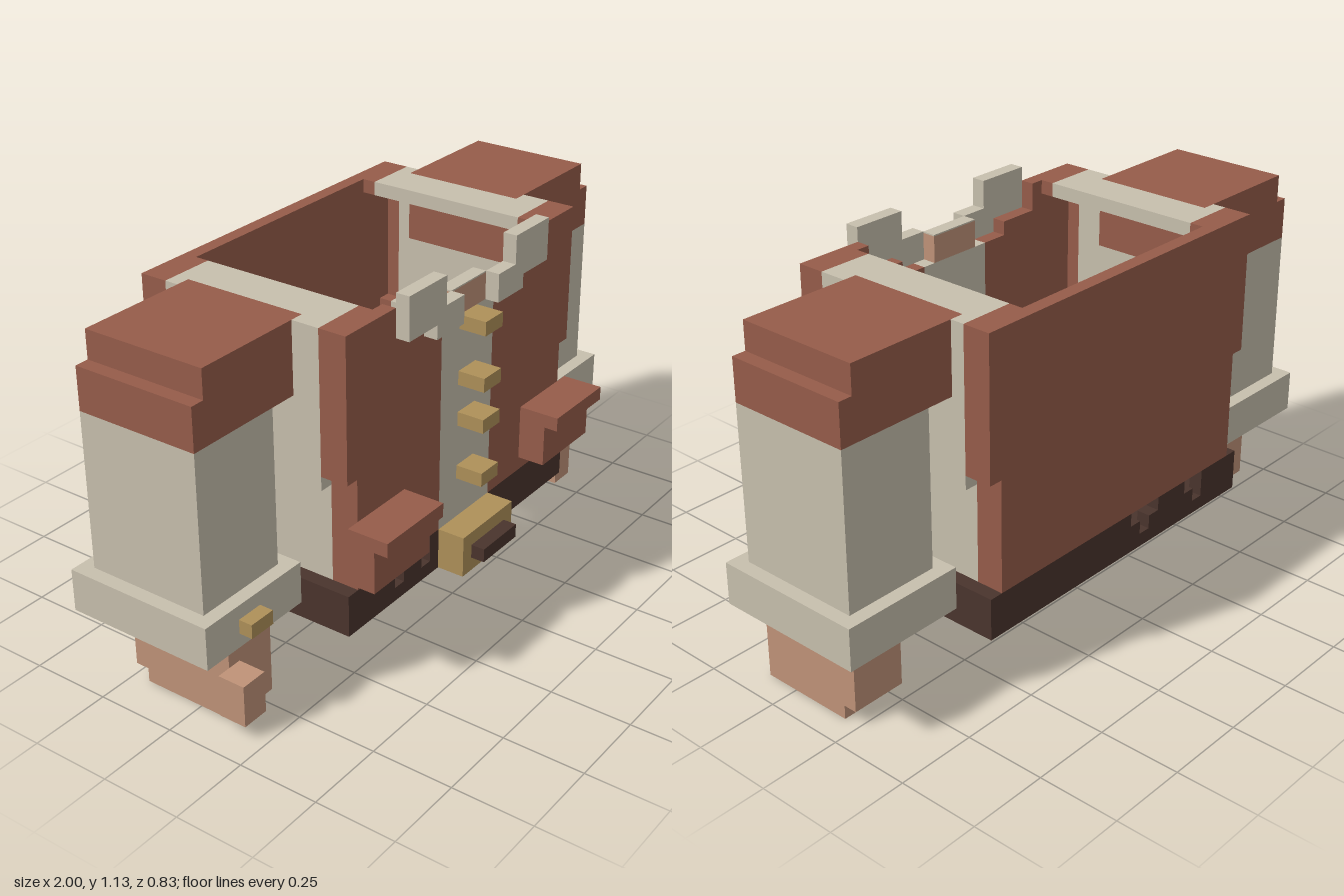
import * as THREE from 'three';

const U = 2 / 46; // one block

const mat = (name, color) => {
  const m = new THREE.MeshStandardMaterial({ color });
  m.name = name;
  return m;
};

export function createModel() {
  const red = mat('brick red cloth', 0x965c4a);
  const cream = mat('cream cloth', 0xc7bfad);
  const skin = mat('skin', 0xbf9278);
  const gold = mat('gold', 0xae9059);
  const dark = mat('dark leather', 0x4a342d);

  const model = new THREE.Group();
  model.name = 'blockyJacket';

  // Box from minimum and maximum corners, in blocks
  function box(name, m, x0, x1, y0, y1, z0, z1, parent = model) {
    const g = new THREE.BoxGeometry((x1 - x0) * U, (y1 - y0) * U, (z1 - z0) * U);
    const mesh = new THREE.Mesh(g, m);
    mesh.position.set((x0 + x1) * U / 2, (y0 + y1) * U / 2, (z0 + z1) * U / 2);
    mesh.name = name;
    parent.add(mesh);
  }
  // The same box on both sides of x = 0
  function pair(name, m, x0, x1, ...rest) {
    box(name, m, x0, x1, ...rest);
    box(name, m, -x1, -x0, ...rest);
  }
  // One row of blocks along x, split around missing columns
  function row(name, m, x0, x1, missing, ...rest) {
    let start = x0;
    for (let x = x0; x <= x1; x++) {
      if (x < x1 && !missing.includes(x)) continue;
      if (x > start) box(name, m, start, x, ...rest);
      start = x + 1;
    }
  }

  // Back of the jacket, narrower below
  box('backUpper', red, -13, 13, 15, 25, -9.5, -8.5);
  box('backLower', red, -12, 12, 7, 15, -9.5, -8.5);

  // Front halves, with the neckline cut out
  pair('frontLower', red, 3, 12, 7, 15, 5.5, 6.5);
  pair('frontUpper', red, 3, 13, 15, 22, 5.5, 6.5);
  pair('frontNeckStep', red, 5, 13, 22, 23, 5.5, 6.5);
  pair('frontShoulder', red, 8, 13, 23, 25, 5.5, 6.5);
  box('shirtPanel', cream, -3, 3, 7, 22, 5.5, 6.5);

  // Corner posts, side walls and shoulder straps
  for (const [z0, z1] of [[4.5, 5.5], [-8.5, -7.5]]) {
    pair('cornerUpper', red, 12, 13, 15, 25, z0, z1);
    pair('cornerLower', red, 11, 12, 7, 15, z0, z1);
    pair('cornerTop', red, 9, 12, 24, 25, z0, z1);
  }
  pair('sideUpper', cream, 12, 13, 14, 24, -7.5, 4.5);
  pair('sideLower', cream, 11, 12, 7, 15, -7.5, 4.5);
  pair('shoulderStrap', cream, 9, 12, 24, 25, -7.5, 4.5);
  pair('strapEndFront', cream, 12, 13, 24, 25, 2.5, 4.5);
  pair('strapEndBack', cream, 12, 13, 24, 25, -7.5, -6.5);

  // Neck and stepped collar
  box('neck', skin, -2, 2, 22, 23.9, 5.5, 6.5);
  box('neckTop', cream, -2, 2, 23.9, 24, 5.5, 6.5);
  pair('collarPoint', cream, 4, 8, 23, 26, 6.5, 7.5);
  pair('collarInner', cream, 2, 4, 22, 24, 6.5, 7.5);
  pair('collarLow', cream, 4, 5, 22, 23, 6.5, 7.5);

  // Shirt buttons
  for (const y of [10, 14, 17, 21]) box('button', gold, -1, 1, y, y + 1, 6.5, 8.5);

  // Pockets with flaps
  pair('pocket', red, 7, 13, 8, 11, 6.5, 8.5);
  pair('pocketFlap', red, 7, 13, 11, 12, 6.5, 9.5);

  // Belt walls, with worn gaps at front and back
  const frontGaps = { 4: [], 5: [-8, -5], 6: [-9, -8, -7, -6, -5] };
  const backGaps = { 4: [], 5: [-9, -3], 6: [-9, -8, -4, -3, -2] };
  for (const y of [5, 6]) {
    row('beltFront', dark, -13, 13, frontGaps[y], y, y + 1, 5.5, 6.5);
    row('beltBack', dark, -13, 13, backGaps[y], y, y + 1, -9.5, -8.5);
  }
  pair('beltSide', dark, 11, 13, 5, 7, -8.5, 5.5);

  // Worn floor: missing columns per row, keyed by z
  const floorGaps = {
    '-5': [4, 6], '-4': [0, 4, 5, 7], '-3': [-1, 1, 4, 5, 6],
    '-2': [-1, 1, 2, 3, 4, 5, 6], '-1': [-1, 0, 1, 2, 6],
    0: [0, 6, 8], 1: [6, 8], 2: [8], 3: [8],
  };
  box('floorBack', dark, -13, 13, 4, 5, -9.5, -5.5);
  for (let z = -5; z <= 3; z++) {
    row('floor', dark, -13, 13, floorGaps[z], 4, 5, z - 0.5, z + 0.5);
  }
  box('floorFront', dark, -13, 13, 4, 5, 3.5, 6.5);

  // Buckle
  box('buckle', gold, -3, 3, 4, 7, 6.5, 8.5);
  box('bucklePin', dark, -2, 2, 5, 6, 8.5, 9.5);

  // Sleeves
  pair('shoulderBridge', red, 11.9, 15, 20, 24, -6.5, 2.5);
  pair('shoulderTop', red, 12, 21, 24, 25, -6.5, 2.5);
  pair('shoulderUpper', red, 15, 21, 23, 24, -6.5, 2.5);
  pair('shoulderLower', red, 15, 22, 20, 23, -6.5, 2.5);
  pair('sleeve', cream, 15, 22, 9, 20, -6.5, 2.5);
  pair('cuff', cream, 14, 23, 6, 9, -7.5, 3.5);

  // Hands and cuff buttons share one layout, shifted per side
  for (const x of [-20, 17]) {
    const hand = new THREE.Group();
    hand.name = x > 0 ? 'leftHand' : 'rightHand';
    model.add(hand);
    box('palm', skin, x, x + 4, 1, 6, -5.5, 2.5, hand);
    box('fingertips', skin, x, x + 4, 0, 1, -4.5, 2.5, hand);
    box('thumb', skin, x - 1, x + 1, 1, 4, 2.5, 4.5, hand);
    box('cuffButton', gold, x, x + 2, 7, 8, 3.5, 4.5, hand);
  }
  return model;
}
